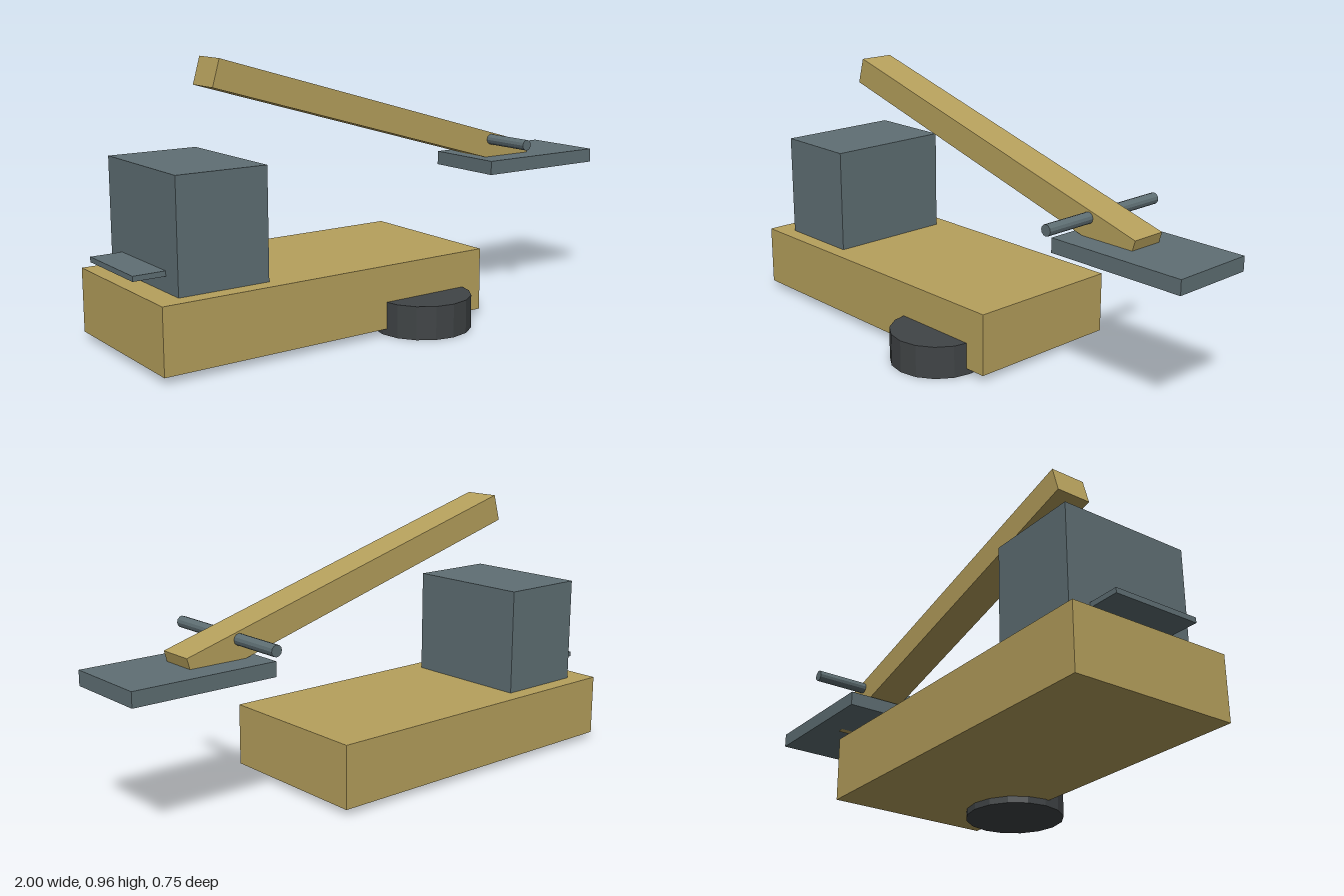
import * as THREE from 'three';

const mat = (name, color, flatShading = false) => {
  const m = new THREE.MeshStandardMaterial({ color, flatShading });
  m.name = name;
  return m;
};

export function createModel() {
  const group = new THREE.Group();
  const ochre = mat('ochre', 0xb6a05c);
  const steel = mat('slate grey', 0x5f6f74, true);
  const rubber = mat('dark rubber', 0x404446, true);

  const add = (name, geometry, material, x, y, z) => {
    const mesh = new THREE.Mesh(geometry, material);
    mesh.name = name;
    mesh.position.set(x, y, z);
    group.add(mesh);
    return mesh;
  };
  // Box given by its limits on each axis
  const box = (name, material, [x0, x1], [y0, y1], [z0, z1]) =>
    add(name, new THREE.BoxGeometry(x1 - x0, y1 - y0, z1 - z0), material,
      (x0 + x1) / 2, (y0 + y1) / 2, (z0 + z1) / 2);

  // Body, tower and its rear ledge
  box('base', ochre, [-0.972, 0.295], [0.023, 0.247], [-0.375, 0.22]);
  box('tower', steel, [-0.887, -0.56], [0.247, 0.631], [-0.315, 0.162]);
  box('ledge', steel, [-1, -0.887], [0.299, 0.317], [-0.235, 0.08]);

  // Sloping arm with the plate and cross rod at its low end
  const arm = add('arm', new THREE.BoxGeometry(1.43, 0.0975, 0.132), ochre, 0.045, 0.718, -0.076);
  arm.rotation.z = THREE.MathUtils.degToRad(-16);
  box('plate', steel, [0.47, 1], [0.479, 0.531], [-0.235, 0.08]);
  const rod = add('crossRod', new THREE.CylinderGeometry(0.02, 0.02, 0.528, 12), steel, 0.547, 0.598, -0.076);
  rod.rotation.x = Math.PI / 2;

  // Flat disc set into the front edge of the base
  add('wheel', new THREE.CylinderGeometry(0.173, 0.173, 0.118, 16), rubber, 0.043, 0.059, 0.202);

  return group;
}
